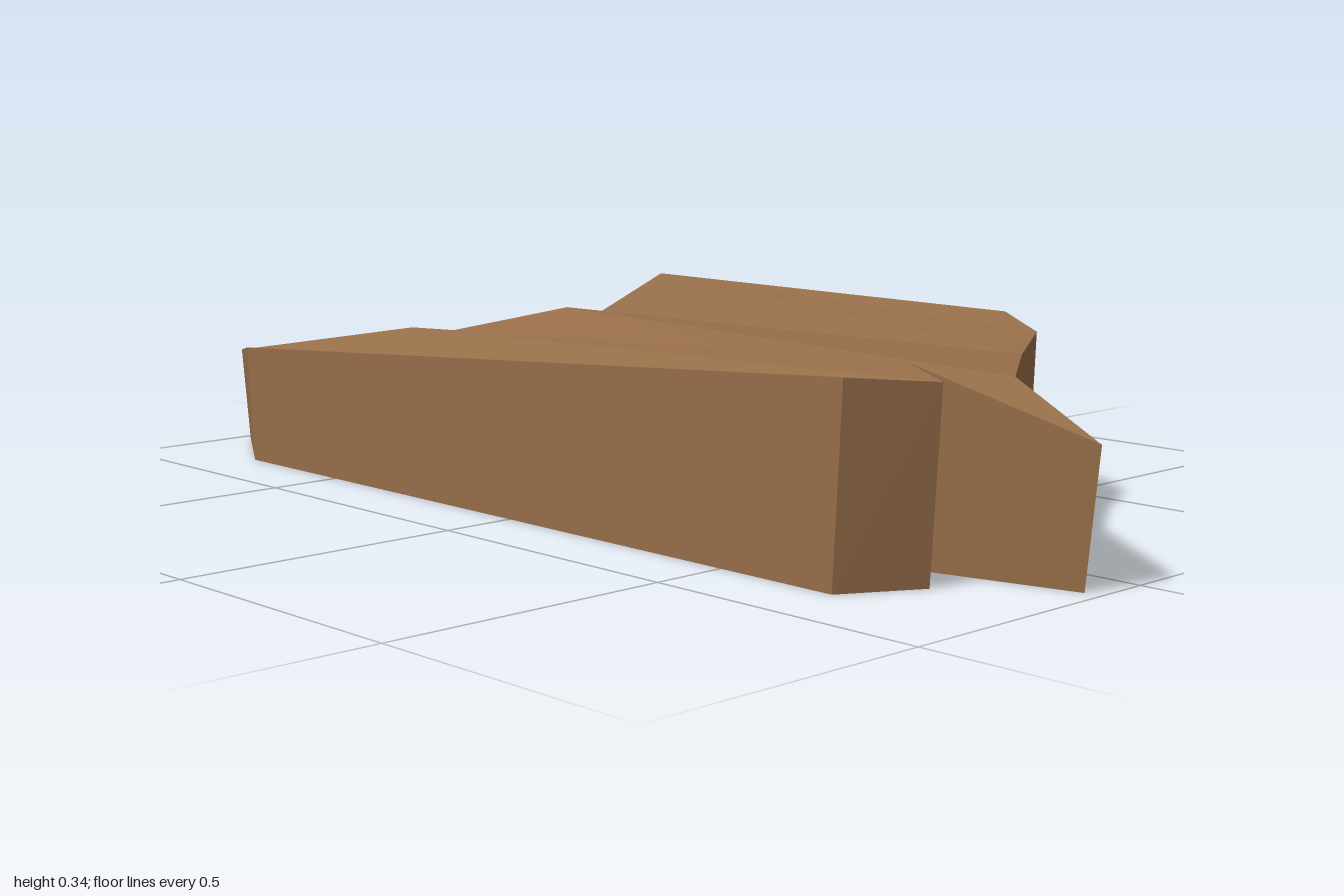
import * as THREE from 'three';

// Cross-sections from front to back: z, left-hand x and height, right-hand x and height
const SECTIONS = [
  [0.37, -0.78, 0.215, 0.745, 0.317],
  [0.24, -1.0, 0.178, 0.82, 0.306],
  [0.173, -0.52, 0.26, 0.69, 0.317],
  [0.098, -0.68, 0.21, 0.995, 0.22],
  [-0.055, -0.34, 0.295, 0.72, 0.274],
  [-0.208, -0.605, 0.172, 0.615, 0.285],
  [-0.318, -0.36, 0.34, 0.56, 0.307],
  [-0.372, -0.17, 0.328, 0.45, 0.328],
];
const BASE_SCALE = 0.977; // the base is slightly narrower than the top

function slabGeometry() {
  const positions = [];
  const tri = (a, b, c) => positions.push(...a, ...b, ...c);
  const quad = (a, b, c, d) => { tri(a, b, c); tri(a, c, d); };

  const rows = SECTIONS.map(([z, xl, hl, xr, hr]) => ({
    l: [xl, hl, z],
    r: [xr, hr, z],
    lb: [xl * BASE_SCALE, 0, z],
    rb: [xr * BASE_SCALE, 0, z],
  }));

  for (let i = 0; i < rows.length - 1; i++) {
    const f = rows[i], b = rows[i + 1];
    // Ridged top, with the fold direction alternating from strip to strip
    if (i % 2 === 0) quad(f.l, f.r, b.r, b.l);
    else quad(b.l, f.l, f.r, b.r);
    // Jagged ends and flat underside
    quad(f.rb, b.rb, b.r, f.r);
    quad(b.lb, f.lb, f.l, b.l);
    quad(f.lb, b.lb, b.rb, f.rb);
  }

  // Front and back walls
  const first = rows[0], last = rows[rows.length - 1];
  quad(first.lb, first.rb, first.r, first.l);
  quad(last.rb, last.lb, last.l, last.r);

  const geometry = new THREE.BufferGeometry();
  geometry.setAttribute('position', new THREE.Float32BufferAttribute(positions, 3));
  geometry.computeVertexNormals();
  return geometry;
}

export function createModel() {
  const group = new THREE.Group();
  group.name = 'splinteredPlank';
  const wood = new THREE.MeshStandardMaterial({ color: 0x946c48 });
  wood.name = 'brown wood';
  wood.flatShading = true;

  const slab = new THREE.Mesh(slabGeometry(), wood);
  slab.name = 'jaggedSlab';
  group.add(slab);
  return group;
}
